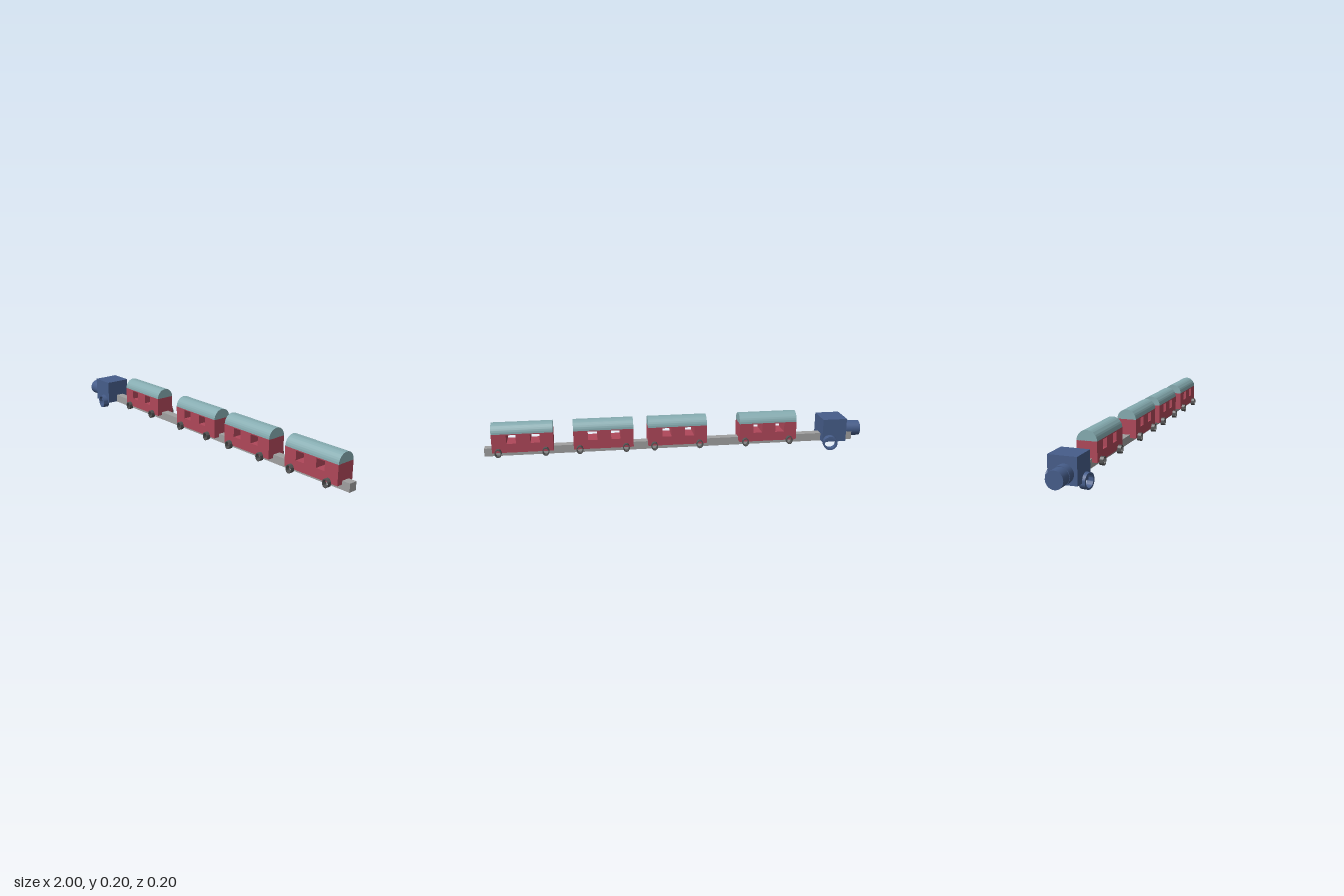
import * as THREE from 'three';
import { toCreasedNormals } from 'three/addons/utils/BufferGeometryUtils.js';

const material = (color) => new THREE.MeshStandardMaterial({ color });
const BLUE = material(0x465d8a);
const RED = material(0xaf4759);
const TEAL = material(0x85abb0);
const DARK = material(0x555555);
const GREY = material(0xa0a0a0);

function add(parent, name, geometry, mat, x = 0, y = 0, z = 0) {
  const mesh = new THREE.Mesh(geometry, mat);
  mesh.name = name;
  mesh.position.set(x, y, z);
  parent.add(mesh);
  return mesh;
}

// Hollow wheel with its axle along z
function wheelGeometry(outer, inner, width) {
  const h = width / 2;
  const profile = [[outer, -h], [outer, h], [inner, h], [inner, -h], [outer, -h]]
    .map(([r, y]) => new THREE.Vector2(r, y));
  return toCreasedNormals(new THREE.LatheGeometry(profile, 32).rotateX(Math.PI / 2), 0.6);
}

function rectangle(PathType, x0, y0, x1, y1) {
  const path = new PathType();
  path.moveTo(x0, y0).lineTo(x1, y0).lineTo(x1, y1).lineTo(x0, y1).closePath();
  return path;
}

function createEngine() {
  const engine = new THREE.Group();
  engine.name = 'engine';
  add(engine, 'cab', new THREE.BoxGeometry(0.13, 0.125, 0.136), BLUE, -0.84, 0.0975, 0.008);

  // Boiler in two slightly stepped sections
  const boiler = (r, length) => new THREE.CylinderGeometry(r, r, length, 32).rotateZ(Math.PI / 2);
  add(engine, 'boilerFront', boiler(0.041, 0.1), BLUE, -0.95, 0.083, 0.018);
  add(engine, 'boilerRear', boiler(0.043, 0.045), BLUE, -0.922, 0.084, 0.018);

  // Slightly turned wheel pair
  const axle = new THREE.Group();
  axle.name = 'engineWheels';
  axle.position.set(-0.818, 0.0378, -0.001);
  const geometry = wheelGeometry(0.0375, 0.029, 0.032);
  for (const side of [1, -1]) {
    const wheel = add(axle, 'engineWheel', geometry, BLUE, -side * 0.007, 0, side * 0.081);
    wheel.rotation.y = -0.15;
  }
  engine.add(axle);
  return engine;
}

function createCarriage(index, x, z) {
  const carriage = new THREE.Group();
  carriage.name = 'carriage' + index;
  carriage.position.set(x, 0, z);
  const length = 0.308, depth = 0.1;

  // Body with two windows cut right through
  const side = rectangle(THREE.Shape, 0, 0.057, length, 0.155);
  for (const wx of [0.067, 0.186]) {
    side.holes.push(rectangle(THREE.Path, wx, 0.104, wx + 0.048, 0.15));
  }
  const body = new THREE.ExtrudeGeometry(side, { depth, bevelEnabled: false });
  add(carriage, 'body', body.translate(0, 0, -depth / 2), RED);

  // Half-round roof
  const arch = new THREE.Shape();
  arch.absarc(0, 0, 0.05, 0, Math.PI, false);
  arch.closePath();
  const roof = new THREE.ExtrudeGeometry(arch, { depth: length, bevelEnabled: false, curveSegments: 24 });
  add(carriage, 'roof', toCreasedNormals(roof.rotateY(Math.PI / 2), 0.6), TEAL, 0, 0.154, 0);

  // Small oval wheels
  const wheel = wheelGeometry(0.0215, 0.0165, 0.022).scale(0.8, 1, 1);
  for (const [wx, wz] of [[0.041, 1], [0.256, 1], [0.039, -1], [0.277, -1]]) {
    add(carriage, 'wheel', wheel, DARK, wx, 0.0585, wz * 0.058);
  }
  return carriage;
}

export function createModel() {
  const train = new THREE.Group();
  train.name = 'train';

  // Long beam joining everything
  add(train, 'beam', new THREE.BoxGeometry(1.95, 0.042, 0.043), GREY, 0.025, 0.0535, -0.003);
  train.add(createEngine());

  const carriages = [[-0.628, -0.005], [-0.145, 0], [0.24, 0], [0.65, 0]];
  carriages.forEach(([x, z], i) => train.add(createCarriage(i + 1, x, z)));
  return train;
}
